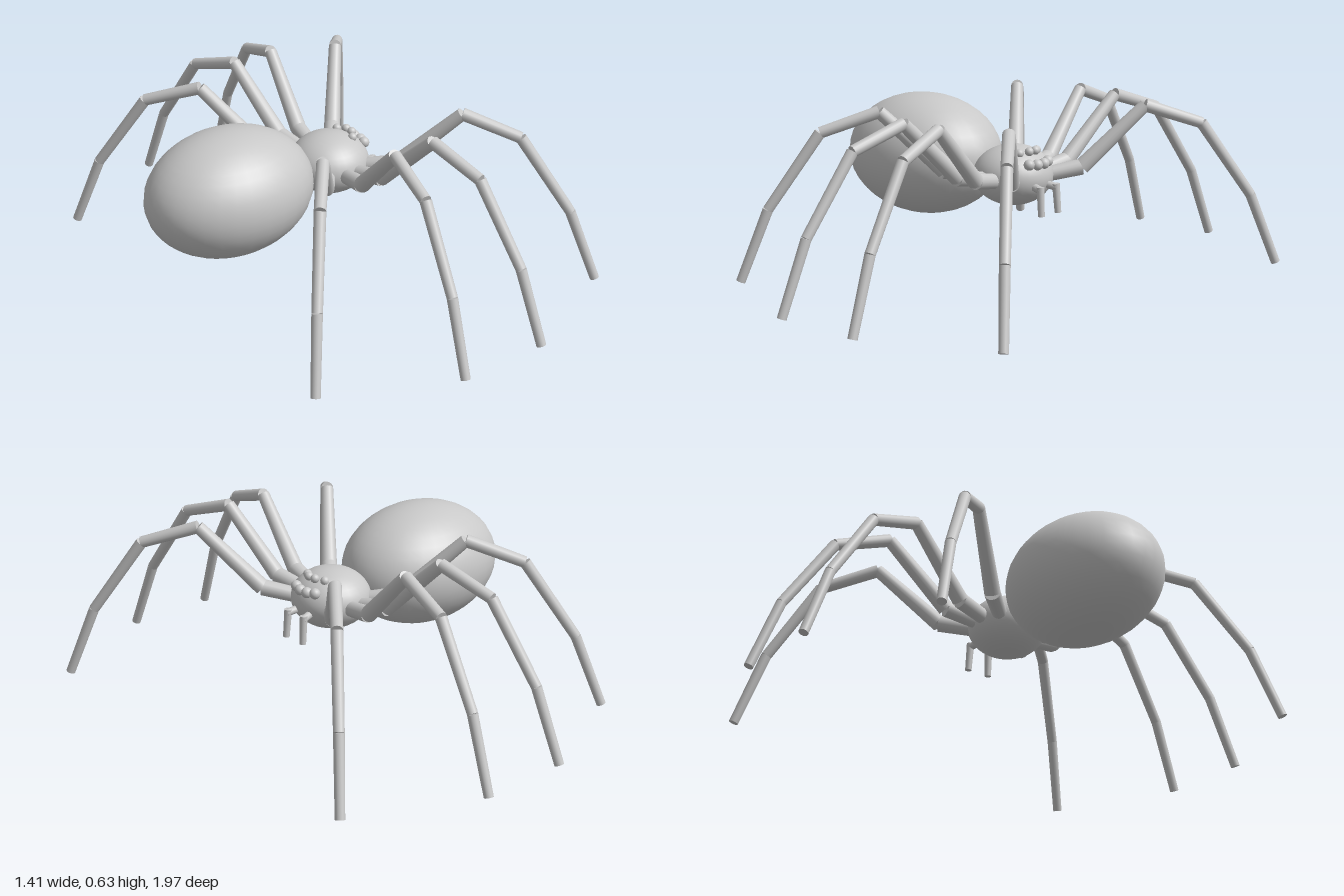
import * as THREE from 'three';

const grey = new THREE.MeshStandardMaterial({ color: 0xc8c8c8 });
grey.name = 'grey';

function ellipsoid(name, pos, scale, w = 32, h = 20) {
  const mesh = new THREE.Mesh(new THREE.SphereGeometry(1, w, h), grey);
  mesh.name = name;
  mesh.position.set(...pos);
  mesh.scale.set(...scale);
  return mesh;
}

// Tapered rod between two points
function rod(name, a, b, ra, rb) {
  const from = new THREE.Vector3(...a), to = new THREE.Vector3(...b);
  const dir = to.clone().sub(from);
  const mesh = new THREE.Mesh(new THREE.CylinderGeometry(rb, ra, dir.length(), 16), grey);
  mesh.name = name;
  mesh.position.copy(from).add(to).multiplyScalar(0.5);
  mesh.quaternion.setFromUnitVectors(new THREE.Vector3(0, 1, 0), dir.normalize());
  return mesh;
}

// Leg joints: distance from the body centre, height, radius
const JOINTS = [
  [0.10, 0.362, 0.027],
  [0.25, 0.39, 0.03],
  [0.48, 0.61, 0.023],
  [0.69, 0.54, 0.021],
  [0.88, 0.267, 0.019],
  [0.983, 0.007, 0.017],
];
const SEGMENTS = ['coxa', 'femur', 'tibia', 'metatarsus', 'tarsus'];

function makeLeg() {
  const leg = new THREE.Group();
  SEGMENTS.forEach((name, i) => {
    const [r0, y0, t0] = JOINTS[i], [r1, y1, t1] = JOINTS[i + 1];
    leg.add(rod(name, [r0, y0, 0], [r1, y1, 0], t0, t1));
  });
  return leg;
}

export function createModel() {
  const spider = new THREE.Group();
  spider.name = 'spider';

  // Body
  spider.add(ellipsoid('abdomen', [-0.39, 0.39, 0], [0.32, 0.225, 0.248]));
  spider.add(ellipsoid('cephalothorax', [0.05, 0.37, 0], [0.145, 0.11, 0.145]));

  for (const side of [1, -1]) {
    // Four legs fanned out on each side
    for (const deg of [40, 10, -10, -40]) {
      const leg = makeLeg();
      leg.name = side > 0 ? 'nearLeg' : 'farLeg';
      leg.position.x = 0.05;
      leg.rotation.y = -side * THREE.MathUtils.degToRad(90 - deg);
      spider.add(leg);
    }

    // Two rows of eyes: x, y, z, radius
    for (const [x, y, z, r] of [
      [0.18, 0.425, 0.018, 0.02], [0.17, 0.428, 0.05, 0.02],
      [0.14, 0.467, 0.016, 0.016], [0.12, 0.462, 0.046, 0.016],
    ]) spider.add(ellipsoid('eye', [x, y, z * side], [r, r, r], 16, 12));

    // Mouthparts
    spider.add(rod('chelicera', [0.16, 0.35, 0.03 * side], [0.222, 0.34, 0.043 * side], 0.014, 0.014));
    spider.add(rod('fang', [0.216, 0.353, 0.042 * side], [0.224, 0.248, 0.045 * side], 0.014, 0.012));
  }
  return spider;
}
